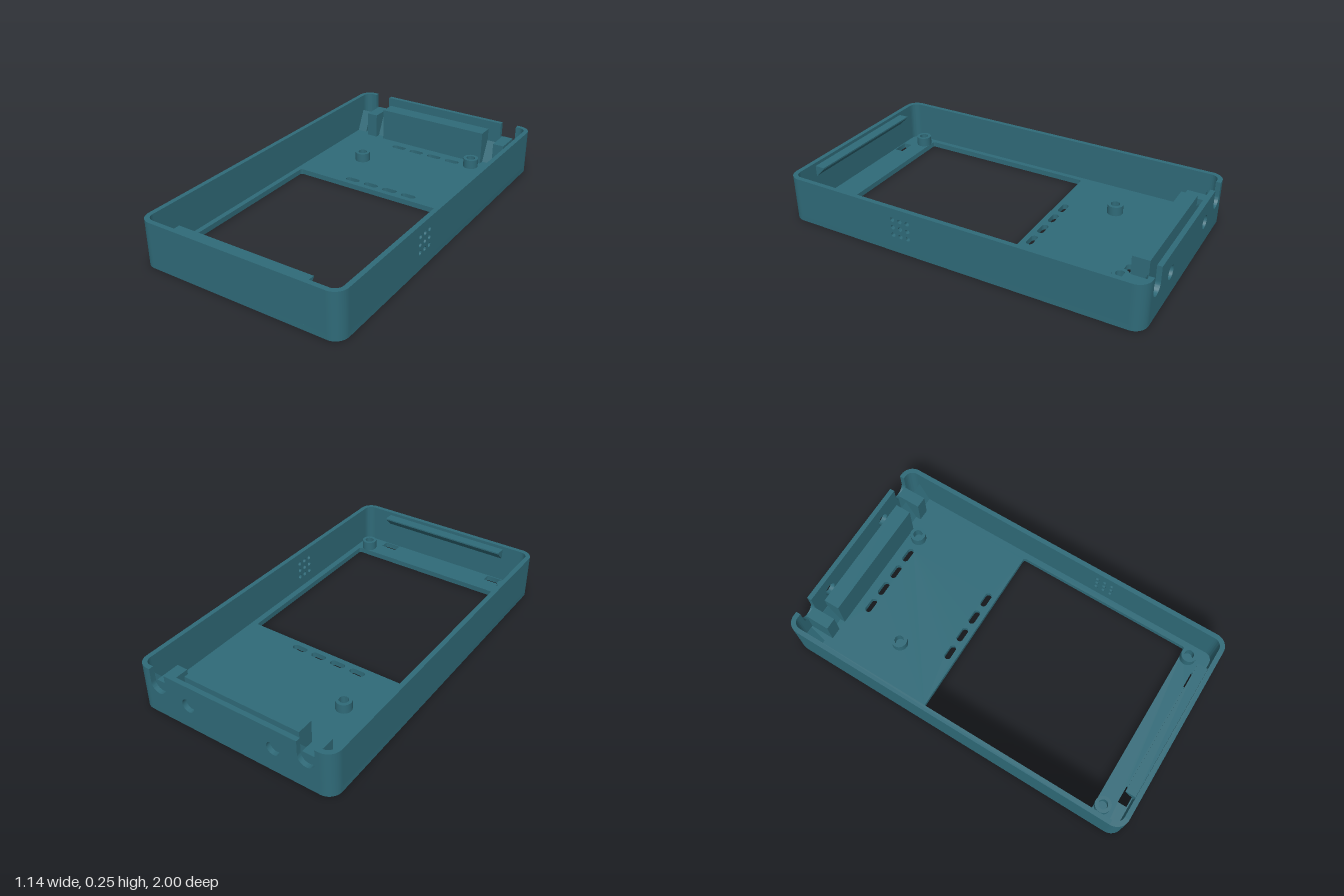
import * as THREE from 'three';
import { toCreasedNormals } from 'three/addons/utils/BufferGeometryUtils.js';

const W = 0.57, L = 1, H = 0.25, T = 0.026, FLOOR = 0.03, R = 0.07;

export function createModel() {
  const model = new THREE.Group();
  model.name = 'deviceCase';
  const teal = new THREE.MeshStandardMaterial({ color: 0x2f6a78 });
  teal.name = 'teal plastic';

  const add = (name, geo, x = 0, y = 0, z = 0, parent = model) => {
    const m = new THREE.Mesh(geo, teal);
    m.name = name;
    m.position.set(x, y, z);
    parent.add(m);
    return m;
  };
  const box = (name, x0, x1, y0, y1, z0, z1) =>
    add(name, new THREE.BoxGeometry(x1 - x0, y1 - y0, z1 - z0), (x0 + x1) / 2, (y0 + y1) / 2, (z0 + z1) / 2);
  const extrude = (shape, depth) => toCreasedNormals(
    new THREE.ExtrudeGeometry(shape, { depth, bevelEnabled: false, curveSegments: 12 }), 0.6);
  // Shape drawn in (x, -z), raised upwards
  const raise = (shape, height) => extrude(shape, height).rotateX(-Math.PI / 2);

  const roundRect = (P, x0, x1, y0, y1, r) => {
    const p = new P();
    p.moveTo(x0 + r, y0);
    p.lineTo(x1 - r, y0);
    p.absarc(x1 - r, y0 + r, r, -Math.PI / 2, 0);
    p.lineTo(x1, y1 - r);
    p.absarc(x1 - r, y1 - r, r, 0, Math.PI / 2);
    p.lineTo(x0 + r, y1);
    p.absarc(x0 + r, y1 - r, r, Math.PI / 2, Math.PI);
    p.lineTo(x0, y0 + r);
    p.absarc(x0 + r, y0 + r, r, Math.PI, Math.PI * 1.5);
    return p;
  };
  const circle = (x, y, r) => new THREE.Path().absarc(x, y, r, 0, Math.PI * 2, true);

  // Floor plate with screen window, vent slots and latch slots
  const floor = roundRect(THREE.Shape, -W, W, -L, L, R);
  const cut = (x0, x1, z0, z1, r) => floor.holes.push(roundRect(THREE.Path, x0, x1, -z1, -z0, r));
  cut(-0.515, 0.51, -0.2, 0.82, 0.012);
  for (const z of [-0.77, -0.247])
    for (let i = 0; i < 4; i++) {
      const x = -0.184 + i * 0.121;
      cut(x - 0.043, x + 0.043, z - 0.018, z + 0.018, 0.0175);
    }
  for (const x of [-0.147, 0.142]) cut(x - 0.051, x + 0.051, -0.972, -0.944, 0.002);
  for (const x of [-0.362, 0.356]) cut(x - 0.048, x + 0.048, 0.918, 0.968, 0.002);
  add('floor', raise(floor, FLOOR));

  // Rounded corner posts joining the walls
  for (let i = 0; i < 4; i++) {
    const a = i * Math.PI / 2;
    const s = new THREE.Shape();
    s.absarc(0, 0, R, a, a + Math.PI / 2, false);
    s.absarc(0, 0, R - T, a + Math.PI / 2, a, true);
    const sx = i === 0 || i === 3 ? 1 : -1, sz = i < 2 ? -1 : 1;
    add('cornerWall', raise(s, H - FLOOR), sx * (W - R), FLOOR, sz * (L - R));
  }

  // Straight walls
  const sx = W - R, sz = L - R;
  box('frontWall', -sx, sx, FLOOR, H, L - T, L);
  box('sideWall', -W, -W + T, FLOOR, H, -sz, sz);

  // Side wall with a 3 x 3 speaker grille
  const side = new THREE.Shape();
  side.moveTo(-sz, FLOOR).lineTo(sz, FLOOR).lineTo(sz, H).lineTo(-sz, H);
  for (const z of [0.24, 0.284, 0.328])
    for (const y of [0.098, 0.142, 0.186]) side.holes.push(circle(-z, y, 0.0125));
  add('grilleWall', extrude(side, T).rotateY(Math.PI / 2), W - T);

  // Back wall with two U notches and two round holes
  const back = new THREE.Shape();
  const nr = 0.047, ny = 0.172;
  back.moveTo(-sx, FLOOR).lineTo(sx, FLOOR).lineTo(sx, H);
  for (const x of [0.435, -0.43]) {
    back.lineTo(x + nr, H);
    back.lineTo(x + nr, ny);
    back.absarc(x, ny, nr, 0, -Math.PI, true);
    back.lineTo(x - nr, H);
  }
  back.lineTo(-sx, H);
  for (const x of [-0.25, 0.25]) back.holes.push(circle(x, 0.135, 0.037));
  add('backWall', extrude(back, T), 0, 0, -L);

  // Prism with a (z, y) profile running along x
  const prism = (name, pts, x0, x1) => {
    const s = new THREE.Shape(pts.map(([z, y]) => new THREE.Vector2(-z, y)));
    add(name, extrude(s, x1 - x0).rotateY(Math.PI / 2), x0);
  };

  // Snap ridge inside the front wall
  prism('snapRidge', [[L - T, 0.232], [0.918, 0.232], [0.918, 0.224], [L - T, 0.17]], -0.387, 0.383);

  // Battery block, button supports and sloped gussets along the back
  box('rearBlock', -0.34, 0.333, FLOOR, 0.222, -0.925, -0.837);
  for (const x of [-0.422, 0.438]) box('buttonSupport', x - 0.032, x + 0.032, FLOOR, 0.175, -0.972, -0.837);
  for (const [x0, x1] of [[-0.544, -0.487], [-0.39, -0.34], [0.333, 0.406], [0.485, 0.544]])
    prism('gusset', [[-0.922, FLOOR], [-0.922, 0.15], [-0.867, FLOOR]], x0, x1);
  for (const x of [-0.147, 0.142]) box('rib', x - 0.006, x + 0.006, FLOOR, 0.07, -0.944, -0.925);

  // Screw bosses with blind holes
  const ring = new THREE.Shape().absarc(0, 0, 0.043, 0, Math.PI * 2, false);
  ring.holes.push(circle(0, 0, 0.025));
  const bossGeo = raise(ring, 0.052);
  for (const [x, z] of [[0.299, -0.777], [-0.283, -0.507], [-0.47, 0.86], [0.466, 0.86]])
    add('screwBoss', bossGeo, x, FLOOR, z);

  return model;
}
